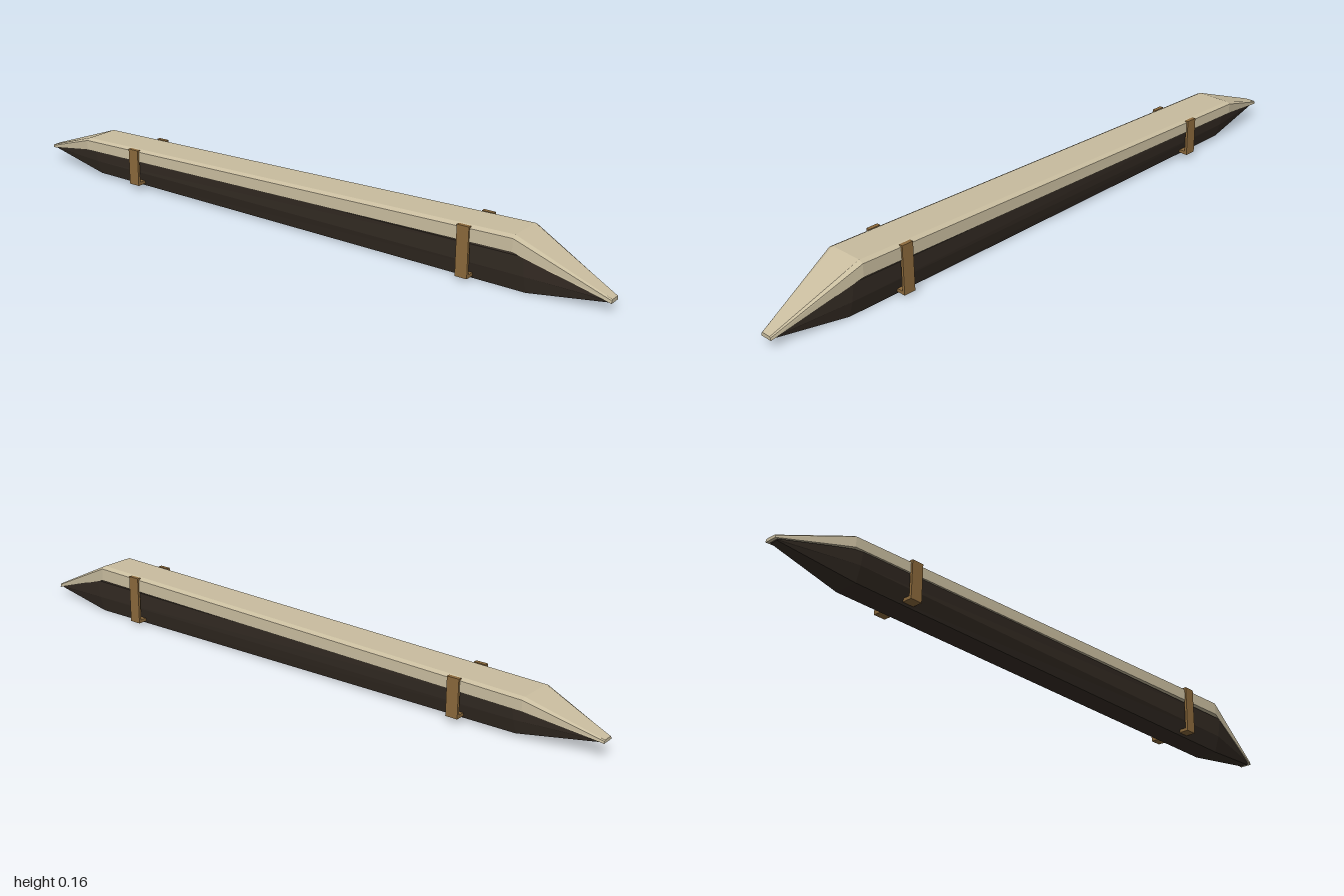
import * as THREE from 'three';

// Lofts a faceted solid through cross-sections running from rear (-z) to front (+z).
// Each section holds one half-outline [x, y] from top to bottom and is mirrored across x = 0.
function loft(sections, material) {
  const rings = sections.map(({ z, half }) => [
    ...half.map(([x, y]) => [x, y, z]),
    ...half.slice().reverse().map(([x, y]) => [-x, y, z]),
  ]);
  const n = rings[0].length;
  const pos = [];
  const tri = (a, b, c) => pos.push(...a, ...b, ...c);
  for (let s = 0; s < rings.length - 1; s++) {
    const A = rings[s], B = rings[s + 1];
    for (let i = 0; i < n; i++) {
      const j = (i + 1) % n;
      tri(A[i], A[j], B[j]);
      tri(A[i], B[j], B[i]);
    }
  }
  // End caps
  const R = rings[0], F = rings[rings.length - 1];
  for (let i = 1; i < n - 1; i++) {
    tri(R[0], R[i + 1], R[i]);
    tri(F[0], F[i], F[i + 1]);
  }
  const geo = new THREE.BufferGeometry();
  geo.setAttribute('position', new THREE.Float32BufferAttribute(pos, 3));
  geo.computeVertexNormals();
  return new THREE.Mesh(geo, material);
}

export function createModel() {
  const group = new THREE.Group();
  const paint = (name, color) => {
    const m = new THREE.MeshStandardMaterial({ color, side: THREE.DoubleSide, flatShading: true });
    m.name = name;
    return m;
  };
  const canvas = paint('beige cover', 0xc9bd9f);
  const dark = paint('dark hull', 0x372e26);
  const brass = paint('brown bracket', 0x8c6a3c);

  // Bevelled cover, higher at the front and tapered at both ends
  const cover = loft([
    { z: -1.0, half: [[0.015, 0.055], [0.018, 0.052], [0.019, 0.046]] },
    { z: -0.79, half: [[0.053, 0.127], [0.065, 0.121], [0.066, 0.09]] },
    { z: 0.74, half: [[0.053, 0.16], [0.066, 0.153], [0.067, 0.115]] },
    { z: 1.0, half: [[0.015, 0.036], [0.018, 0.033], [0.019, 0.025]] },
  ], canvas);
  cover.name = 'cover';
  group.add(cover);

  // Keeled hull narrowing towards the flat bottom
  const hull = loft([
    { z: -0.99, half: [[0.016, 0.05], [0.014, 0.047], [0.012, 0.045]] },
    { z: -0.76, half: [[0.061, 0.095], [0.053, 0.055], [0.037, 0.011]] },
    { z: 0.77, half: [[0.061, 0.108], [0.053, 0.05], [0.037, 0]] },
    { z: 0.99, half: [[0.016, 0.031], [0.014, 0.028], [0.012, 0.024]] },
  ], dark);
  hull.name = 'hull';
  group.add(hull);

  // U-shaped brackets with small lips hooked over the cover edges
  const bar = (w, h, d, x, y, name, parent) => {
    const m = new THREE.Mesh(new THREE.BoxGeometry(w, h, d), brass);
    m.position.set(x, y, 0);
    m.name = name;
    parent.add(m);
  };
  for (const [z, bottom, top, name] of [
    [0.595, 0.009, 0.156, 'frontBracket'],
    [-0.585, 0.017, 0.131, 'rearBracket'],
  ]) {
    const bracket = new THREE.Group();
    bracket.name = name;
    bracket.position.z = z;
    for (const s of [-1, 1]) {
      bar(0.008, top - bottom, 0.037, s * 0.067, (top + bottom) / 2, 'bracketSide', bracket);
      bar(0.01, 0.005, 0.037, s * 0.064, top - 0.0025, 'bracketLip', bracket);
    }
    bar(0.136, 0.01, 0.037, 0, bottom + 0.005, 'bracketBase', bracket);
    group.add(bracket);
  }
  return group;
}
